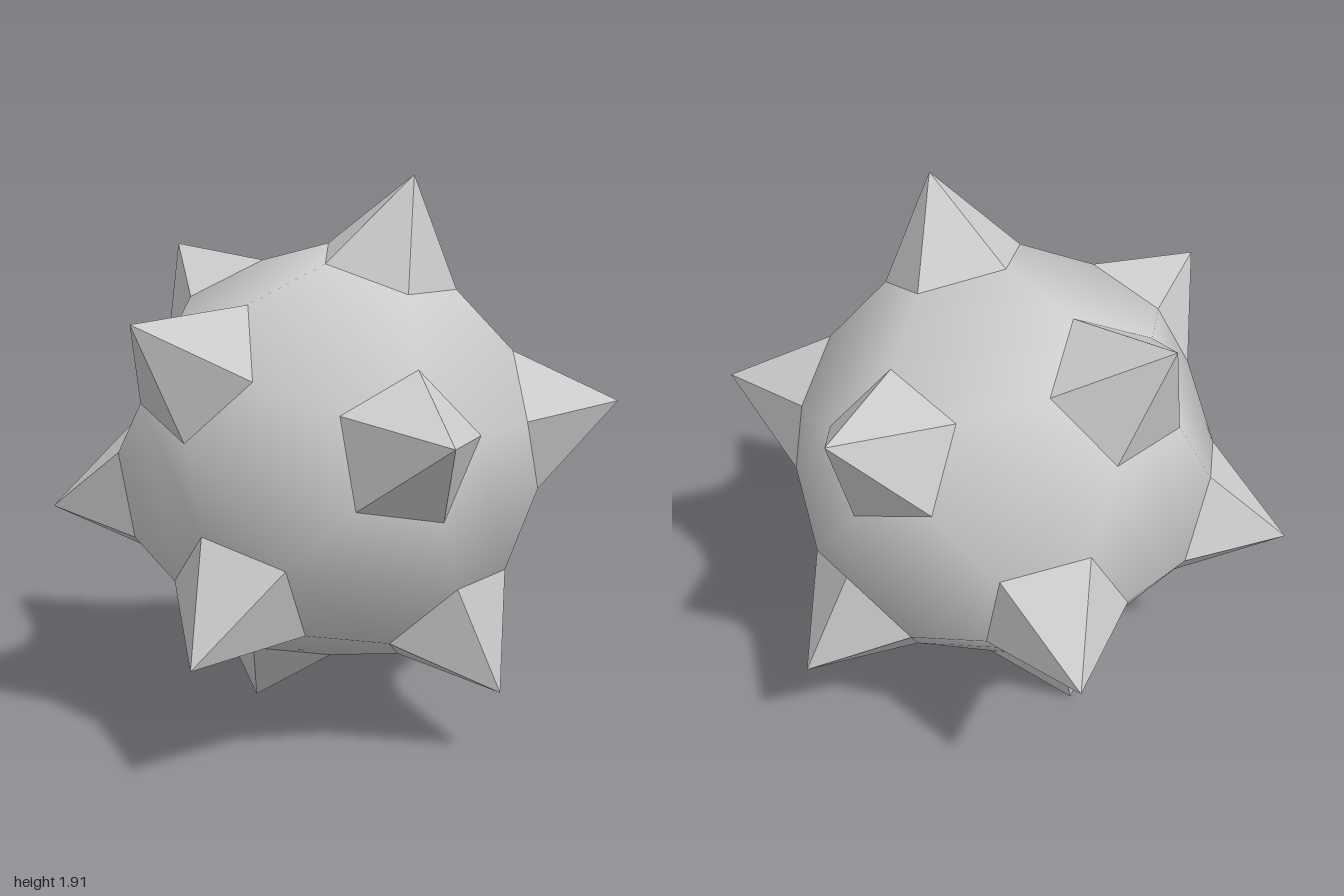
import * as THREE from 'three';
import { ConvexGeometry } from 'three/addons/geometries/ConvexGeometry.js';

const CENTER_Y = 0.962;
const BODY_RADIUS = 0.73;

// Six of the twelve spike tips; the others lie opposite
const AXES = [
  [0.193, 0.953, 0.281],
  [0.03, 0.18, 1.0],
  [0.908, 0.2, 0.392],
  [0.643, 0.529, -0.585],
  [-0.392, 0.719, -0.583],
  [-0.766, 0.504, 0.404],
];

export function createModel() {
  const group = new THREE.Group();
  group.name = 'spikedBall';
  const material = new THREE.MeshStandardMaterial({ color: 0xcccccc });

  const add = (name, geometry) => {
    const mesh = new THREE.Mesh(geometry, material);
    mesh.name = name;
    mesh.position.y = CENTER_Y;
    group.add(mesh);
  };

  const tips = AXES.flatMap((a) => {
    const v = new THREE.Vector3(...a);
    return [v, v.clone().negate()];
  });

  // Five base corners of a spike, one third of the way to each neighbouring tip
  const baseCorners = (tip) =>
    tips
      .filter((other) => other !== tip && other.angleTo(tip) < 1.4)
      .map((other) => tip.clone().lerp(other, 1 / 3).setLength(BODY_RADIUS));

  const bases = tips.map(baseCorners);

  // Body: pentagons and hexagons, shaded smooth with radial normals
  const body = new ConvexGeometry(bases.flat());
  const position = body.attributes.position;
  const normal = body.attributes.normal;
  const n = new THREE.Vector3();
  for (let i = 0; i < position.count; i++) {
    n.fromBufferAttribute(position, i).normalize();
    normal.setXYZ(i, n.x, n.y, n.z);
  }
  add('body', body);

  // Spikes: flat five-sided pyramids, one on each pentagon
  tips.forEach((tip, i) => add(`spike${i + 1}`, new ConvexGeometry([...bases[i], tip])));

  return group;
}
